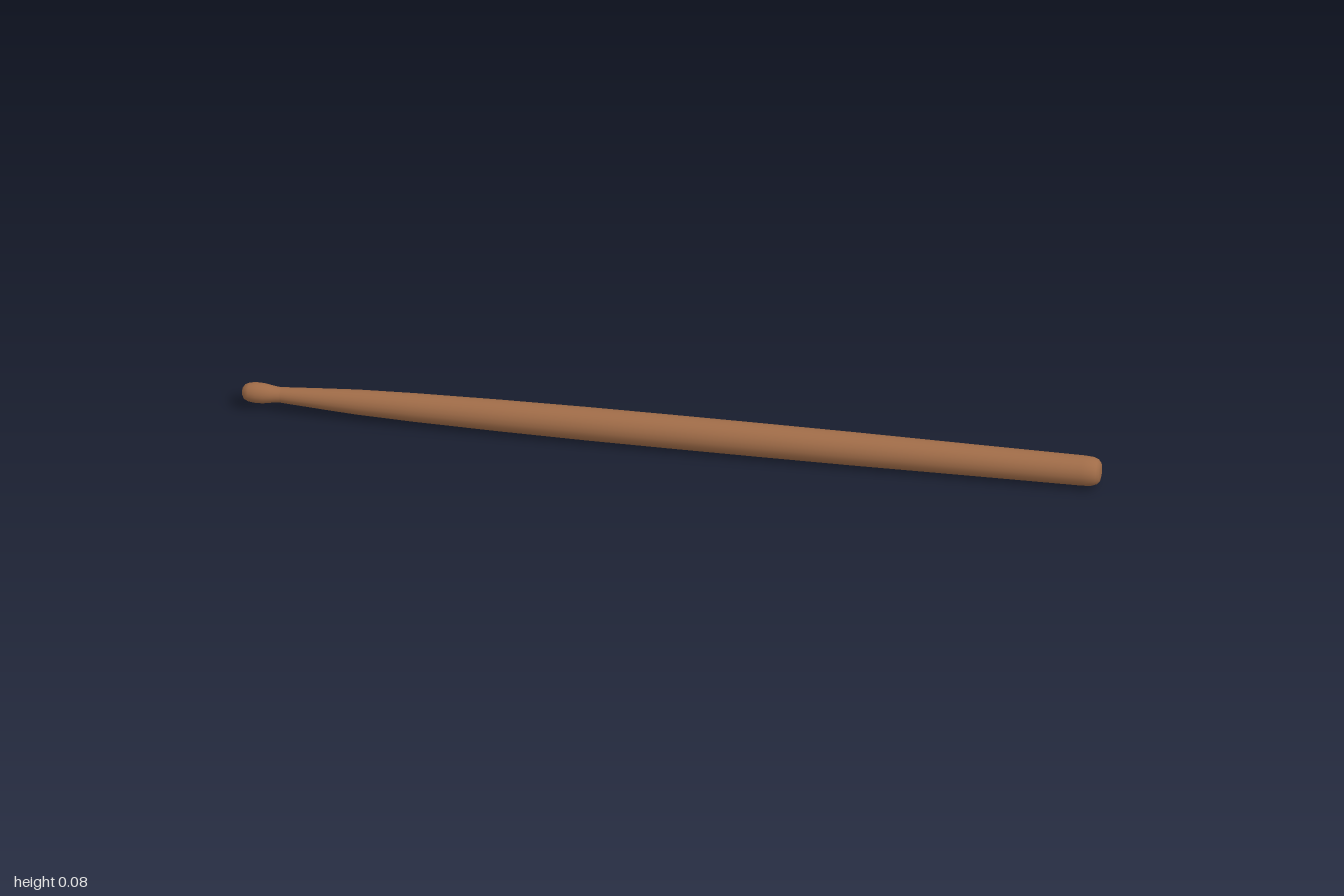
import * as THREE from 'three';

const RADIUS = 0.039;
const SIDES = 20;

// Turns a profile of [x, radius] pairs around the long axis, which lies along x
function turned(name, profile, material) {
  const points = profile.map(([x, r]) => new THREE.Vector2(r, x));
  const geometry = new THREE.LatheGeometry(points, SIDES);
  geometry.rotateZ(-Math.PI / 2);
  const mesh = new THREE.Mesh(geometry, material);
  mesh.name = name;
  mesh.position.y = RADIUS;
  return mesh;
}

export function createModel() {
  const group = new THREE.Group();
  group.name = 'drumstick';
  const wood = new THREE.MeshStandardMaterial({ color: 0xa06c48 });

  // Bead: small rounded tip narrowing into the neck
  group.add(turned('tip', [
    [-1, 0], [-0.999, 0.009], [-0.994, 0.017], [-0.984, 0.022], [-0.967, 0.024],
    [-0.95, 0.0235], [-0.935, 0.021], [-0.92, 0.0185], [-0.91, 0.018],
  ], wood));

  // Shaft: tapered shoulder, full-width body and rounded butt
  group.add(turned('shaft', [
    [-0.91, 0.018], [-0.88, 0.02], [-0.8, 0.025], [-0.73, 0.029], [-0.6, 0.033],
    [-0.4, 0.0365], [-0.2, 0.0385], [0, RADIUS], [0.2, RADIUS], [0.42, 0.0385],
    [0.7, 0.0365], [0.96, 0.035], [0.98, 0.0335], [0.992, 0.029], [0.998, 0.022],
    [1, 0.012], [1, 0],
  ], wood));

  return group;
}
